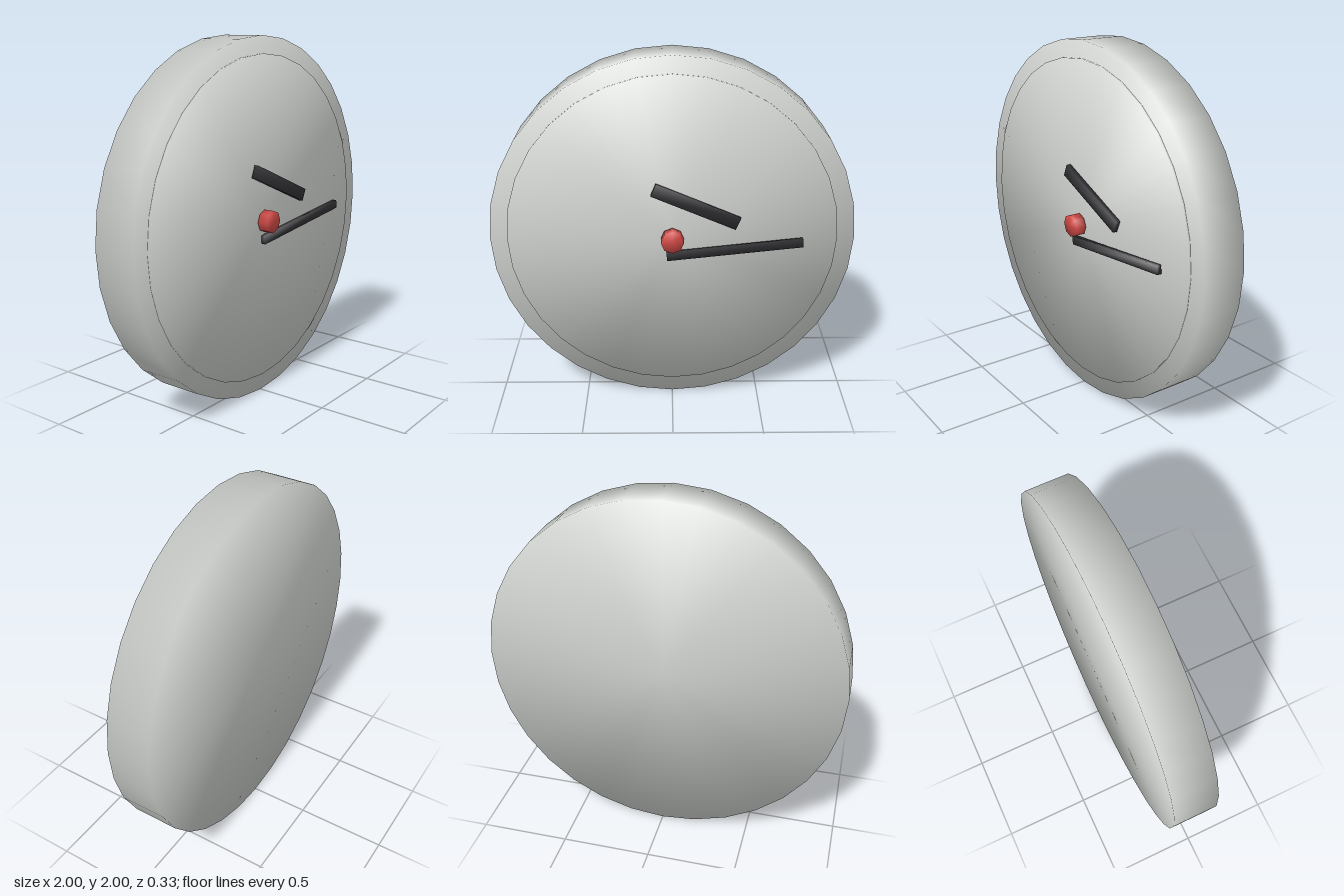
import * as THREE from 'three';

const material = (name, color) => {
  const m = new THREE.MeshStandardMaterial({ color });
  m.name = name;
  return m;
};

// Blend the distinct face normals meeting at each corner, so the whole solid shades softly
function soften(geometry) {
  const pos = geometry.attributes.position;
  const nor = geometry.attributes.normal;
  const corners = new Map();
  const keyOf = (a, i) =>
    [a.getX(i), a.getY(i), a.getZ(i)].map((v) => Math.round(v * 1e4) + 0).join();
  for (let i = 0; i < pos.count; i++) {
    const key = keyOf(pos, i);
    if (!corners.has(key)) corners.set(key, new Map());
    corners.get(key).set(keyOf(nor, i), new THREE.Vector3().fromBufferAttribute(nor, i));
  }
  for (let i = 0; i < pos.count; i++) {
    const sum = new THREE.Vector3();
    for (const n of corners.get(keyOf(pos, i)).values()) sum.add(n);
    sum.normalize();
    nor.setXYZ(i, sum.x, sum.y, sum.z);
  }
  return geometry;
}

export function createModel() {
  const group = new THREE.Group();
  group.name = 'wallClock';
  const grey = material('light grey', 0xcfd2cf);
  const dark = material('charcoal', 0x323236);
  const red = material('red', 0xd04a46);

  const add = (name, geometry, mat, x, y, z) => {
    const mesh = new THREE.Mesh(soften(geometry), mat);
    mesh.name = name;
    mesh.position.set(x, y, z);
    group.add(mesh);
    return mesh;
  };

  // Round parts lie with their axis along z, between two depths
  const disc = (name, radius, back, front, sides, mat) =>
    add(
      name,
      new THREE.CylinderGeometry(radius, radius, front - back, sides).rotateX(Math.PI / 2),
      mat, 0, 1, (back + front) / 2
    );
  disc('clockBody', 1, -0.167, 0.083, 32, grey);
  disc('dial', 0.905, 0.07, 0.094, 32, grey);
  disc('centreKnob', 0.063, 0.107, 0.167, 8, red);

  // Hands float just in front of the dial
  const hand = (name, length, width, x, y, z, degrees) => {
    const bar = add(name, new THREE.BoxGeometry(length, width, 0.025), dark, x, y, z);
    bar.rotation.z = THREE.MathUtils.degToRad(degrees);
  };
  hand('hourHand', 0.5, 0.071, 0.127, 1.19, 0.117, -23);
  hand('minuteHand', 0.75, 0.048, 0.342, 0.94, 0.121, 6.2);

  return group;
}
